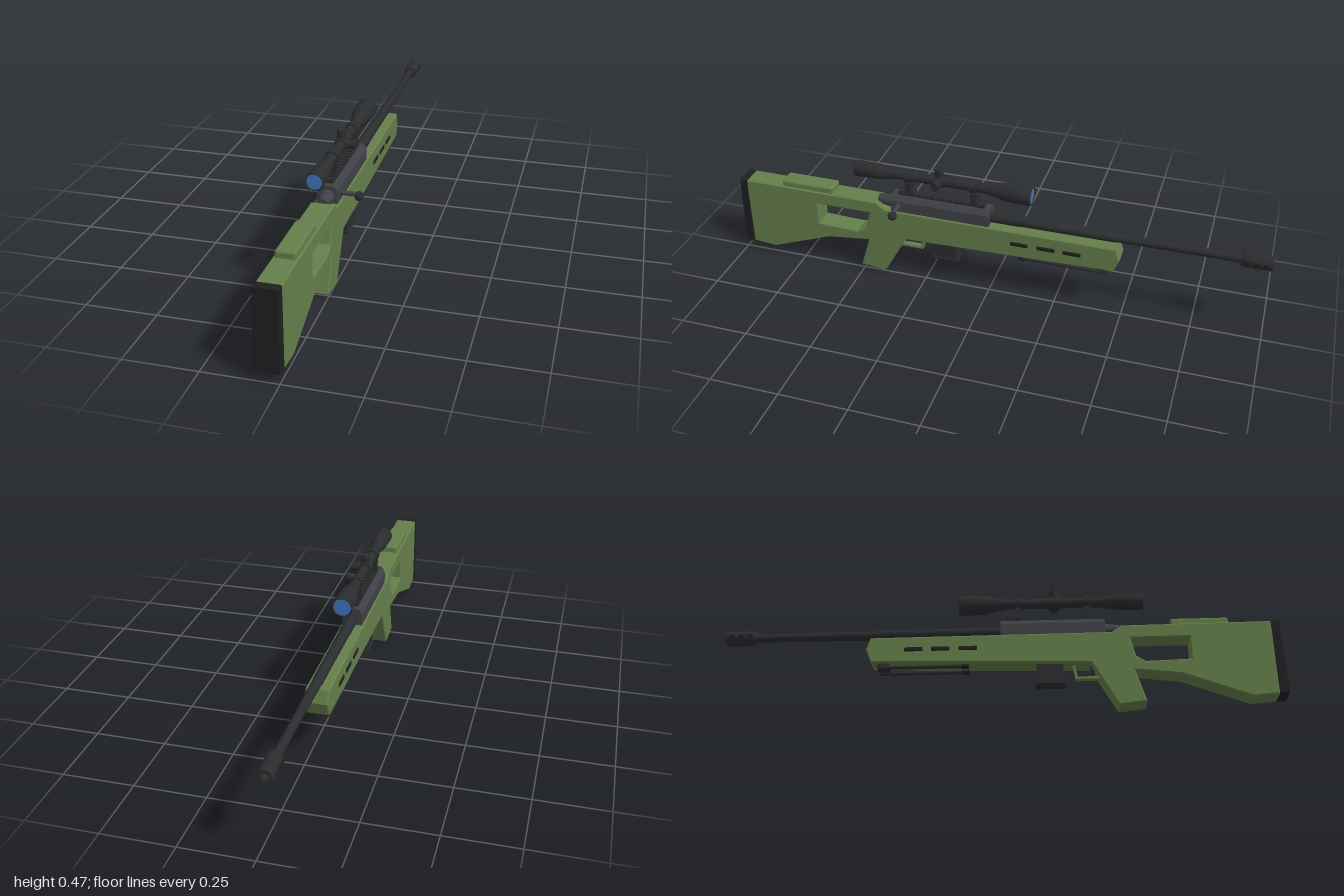
import * as THREE from 'three';
import { toCreasedNormals } from 'three/addons/utils/BufferGeometryUtils.js';
import { RoundedBoxGeometry } from 'three/addons/geometries/RoundedBoxGeometry.js';

const paint = (color) => new THREE.MeshStandardMaterial({ color });
const GREEN = paint(0x657f4b), DARK = paint(0x2b2c2e), STEEL = paint(0x404147);
const RUBBER = paint(0x1f1f1f), GLASS = paint(0x3f73bd);

export function createModel() {
  const model = new THREE.Group();
  model.name = 'rifle';
  const body = new THREE.Group(); // everything is built around x = 0, then shifted
  body.name = 'body';
  body.position.x = -0.037;
  model.add(body);

  const add = (name, geometry, material, x = 0, y = 0, z = 0) => {
    const mesh = new THREE.Mesh(geometry, material);
    mesh.name = name;
    mesh.position.set(x, y, z);
    body.add(mesh);
    return mesh;
  };
  const box = (name, mat, w, h, d, x, y, z) => add(name, new THREE.BoxGeometry(w, h, d), mat, x, y, z);
  const rounded = (name, mat, w, h, d, r, x, y, z) =>
    add(name, new RoundedBoxGeometry(w, h, d, 2, r), mat, x, y, z);
  const cyl = (name, mat, r, length, axis, x, y, z, r2 = r) => {
    const g = new THREE.CylinderGeometry(r2, r, length, 24);
    if (axis === 'x') g.rotateZ(-Math.PI / 2);
    if (axis === 'z') g.rotateX(Math.PI / 2);
    return add(name, g, mat, x, y, z);
  };
  // turned part along z, profile given as [z, radius]; creased at a workable scale
  const turned = (name, mat, profile, y) => {
    const g = new THREE.LatheGeometry(profile.map(([z, r]) => new THREE.Vector2(r * 100, z * 100)), 28);
    g.rotateX(Math.PI / 2);
    const creased = toCreasedNormals(g, 0.5);
    creased.scale(0.01, 0.01, 0.01);
    return add(name, creased, mat, 0, y, 0);
  };
  // side profile in [z, y], extruded across x
  const slab = (name, mat, outline, width, bevel, hole) => {
    const points = (list) => list.map(([z, y]) => new THREE.Vector2(z, y));
    const shape = new THREE.Shape(points(outline));
    if (hole) shape.holes.push(new THREE.Path(points(hole)));
    const g = new THREE.ExtrudeGeometry(shape, {
      depth: width - 2 * bevel, bevelEnabled: bevel > 0, bevelSize: bevel,
      bevelThickness: bevel, bevelOffset: -bevel, bevelSegments: 1,
    });
    g.translate(0, 0, -(width - 2 * bevel) / 2);
    g.rotateY(-Math.PI / 2);
    return add(name, g, mat);
  };

  // stock with thumbhole, grip and forend in one piece
  slab('stock', GREEN, [
    [0.967, 0.312], [0.967, 0.033], [0.877, 0.025], [0.64, 0.115], [0.475, 0.135], [0.512, 0.015],
    [0.415, 0.003], [0.325, 0.165], [-0.1, 0.175], [-0.46, 0.185], [-0.48, 0.235], [-0.465, 0.28],
    [0.4, 0.283], [0.435, 0.308],
  ], 0.08, 0.004, [[0.675, 0.258], [0.465, 0.258], [0.482, 0.187], [0.517, 0.167], [0.675, 0.172]]);
  slab('buttPad', RUBBER, [[0.992, 0.312], [1.0, 0.036], [0.966, 0.031], [0.96, 0.312]], 0.082, 0.003);
  rounded('cheekRest', GREEN, 0.067, 0.034, 0.205, 0.008, 0, 0.317, 0.713);

  // forend vents on both sides
  for (const side of [-1, 1])
    for (const z of [-0.113, -0.212, -0.308])
      rounded('vent', RUBBER, 0.008, 0.016, 0.066, 0.0035, side * 0.0395, 0.231, z);

  // receiver: chamfered block with a sloped rear and a round tang
  const half = [[-0.035, 0.275], [0.035, 0.275], [0.035, 0.326], [0.022, 0.344], [-0.022, 0.344], [-0.035, 0.326]];
  const receiver = new THREE.ExtrudeGeometry(
    new THREE.Shape(half.map(([x, y]) => new THREE.Vector2(x, y))), { depth: 0.375, bevelEnabled: false });
  add('receiver', receiver, STEEL, 0, 0, 0.003);
  cyl('tang', STEEL, 0.026, 0.06, 'z', 0, 0.306, 0.405, 0.018);

  // scope rail with teeth
  box('rail', DARK, 0.028, 0.01, 0.33, 0, 0.347, 0.19);
  for (let i = 0; i < 14; i++) box('railTooth', DARK, 0.03, 0.008, 0.013, 0, 0.355, 0.034 + i * 0.024);

  // bolt handle
  cyl('boltHandle', STEEL, 0.008, 0.075, 'x', 0.062, 0.311, 0.347);
  add('boltKnob', new THREE.SphereGeometry(0.0165, 20, 14), DARK, 0.1, 0.305, 0.347);

  // barrel and muzzle brake
  turned('barrel', DARK, [
    [-0.9, 0], [-0.9, 0.0145], [-0.62, 0.0155], [-0.46, 0.017], [-0.455, 0.0185], [-0.12, 0.0195],
    [-0.1, 0.021], [0.01, 0.021], [0.01, 0],
  ], 0.307);
  turned('muzzleBrake', DARK, [
    [-0.97, 0], [-0.97, 0.012], [-1, 0.012], [-1, 0.024], [-0.996, 0.027], [-0.9, 0.027],
    [-0.89, 0.022], [-0.89, 0],
  ], 0.307);
  for (const side of [-1, 1])
    for (const z of [-0.975, -0.943, -0.911])
      rounded('muzzlePort', RUBBER, 0.005, 0.015, 0.018, 0.002, side * 0.0255, 0.307, z);

  // scope
  const sy = 0.422;
  turned('scopeTube', DARK, [
    [-0.142, 0], [-0.142, 0.031], [-0.15, 0.032], [-0.15, 0.035], [-0.146, 0.037], [-0.06, 0.035],
    [0.025, 0.018], [0.36, 0.018], [0.425, 0.028], [0.515, 0.031], [0.52, 0.029], [0.52, 0.027],
    [0.512, 0.026], [0.512, 0],
  ], sy);
  cyl('objectiveLens', GLASS, 0.031, 0.004, 'z', 0, sy, -0.145);
  cyl('eyepieceLens', GLASS, 0.026, 0.004, 'z', 0, sy, 0.515);
  cyl('turretCollar', DARK, 0.023, 0.045, 'z', 0, sy, 0.198);
  cyl('elevationKnob', DARK, 0.016, 0.032, 'y', 0, 0.456, 0.198);
  cyl('windageKnob', DARK, 0.016, 0.032, 'x', 0.034, sy, 0.198);

  // scope mounts
  for (const z of [0.315, 0.066]) {
    cyl('scopeRing', DARK, 0.024, 0.024, 'z', 0, sy, z);
    box('mountPost', DARK, 0.035, 0.044, 0.022, 0, 0.379, z);
    box('mountClamp', DARK, 0.036, 0.01, 0.03, 0, 0.358, z);
  }

  // magazine
  box('magazine', DARK, 0.048, 0.085, 0.096, 0, 0.14, 0.178);
  box('magazineBase', DARK, 0.054, 0.01, 0.106, 0, 0.099, 0.178);

  // trigger and guard
  slab('triggerGuard', GREEN, [
    [0.375, 0.124], [0.375, 0.115], [0.268, 0.115], [0.258, 0.17], [0.267, 0.17], [0.275, 0.124],
  ], 0.022, 0);
  slab('trigger', DARK, [
    [0.318, 0.175], [0.335, 0.175], [0.331, 0.155], [0.337, 0.135], [0.329, 0.134], [0.322, 0.155],
  ], 0.012, 0);

  // bipod folded under the forend
  box('bipodMount', DARK, 0.05, 0.022, 0.04, 0, 0.178, -0.415);
  cyl('bipodHinge', DARK, 0.008, 0.066, 'x', 0, 0.17, -0.43);
  for (const side of [-1, 1]) {
    cyl('bipodLeg', DARK, 0.0065, 0.31, 'z', side * 0.026, 0.166, -0.275);
    cyl('bipodFoot', RUBBER, 0.009, 0.026, 'z', side * 0.026, 0.165, -0.122);
  }

  return model;
}
